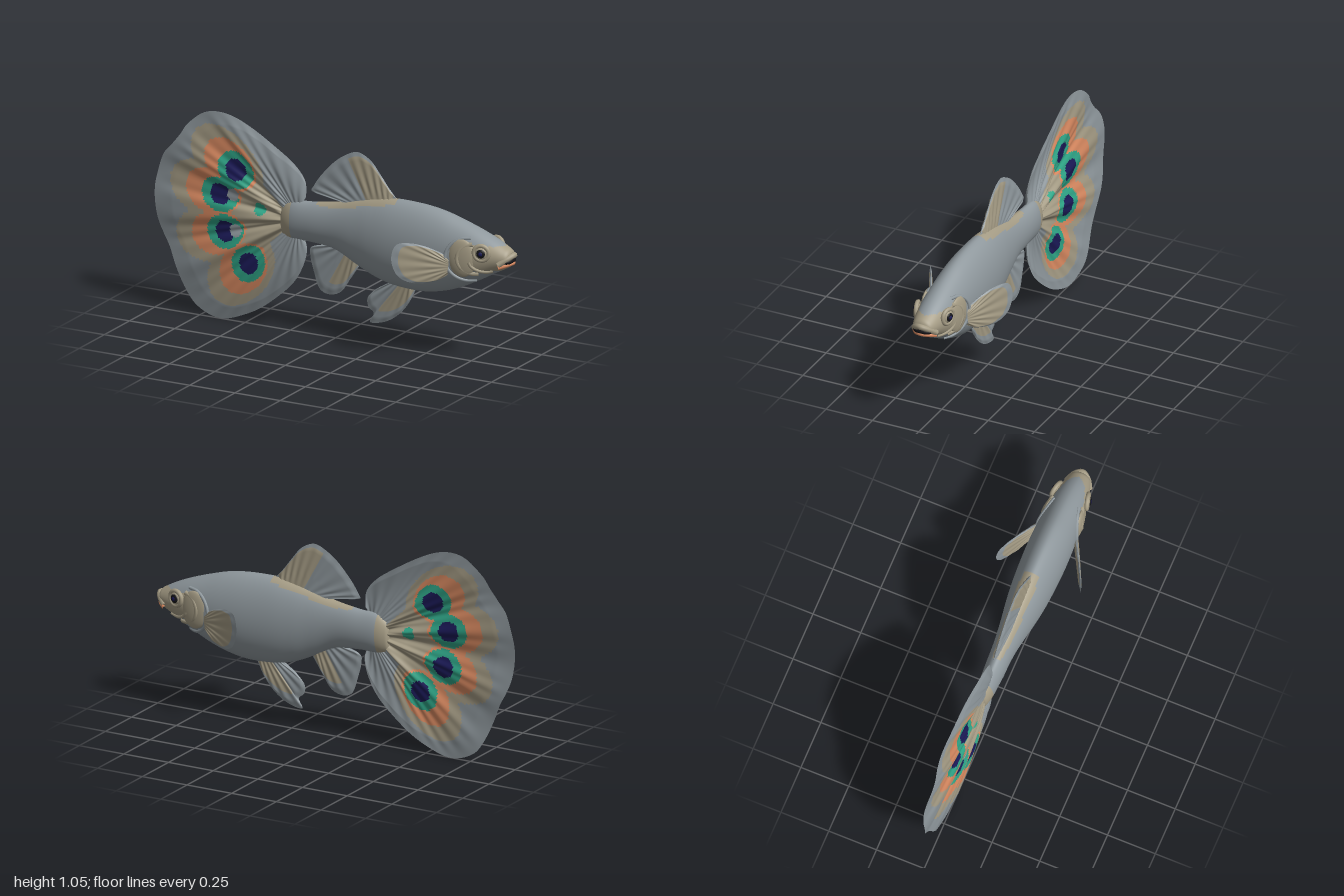
import * as THREE from 'three';
import { mergeVertices } from 'three/addons/utils/BufferGeometryUtils.js';

const PALETTE = { grey: 0x8f989d, tan: 0xa59c85, orange: 0xdb8b62, teal: 0x2fa587, navy: 0x1b1a58, black: 0x141418 };
const KEYS = Object.keys(PALETTE);
const mats = {};
for (const k of KEYS) {
  mats[k] = new THREE.MeshStandardMaterial({ color: PALETTE[k] });
  mats[k].name = k;
}

const spline = (pts) => new THREE.SplineCurve(pts.map(([x, y]) => new THREE.Vector2(x, y)));

// Grid surface from one or more patches; each cell is put in the group of its colour.
function gridMesh(name, patches, nu, nv, colour, weld = false) {
  const pos = [], buckets = KEYS.map(() => []);
  for (const { at, flip, side } of patches) {
    const base = pos.length / 3;
    for (let i = 0; i <= nu; i++) for (let j = 0; j <= nv; j++) pos.push(...at(i / nu, j / nv).toArray());
    for (let i = 0; i < nu; i++) for (let j = 0; j < nv; j++) {
      const u = (i + 0.5) / nu, v = (j + 0.5) / nv;
      const a = base + i * (nv + 1) + j, b = a + nv + 1, c = b + 1, d = a + 1;
      const bucket = buckets[KEYS.indexOf(colour(at(u, v), u, v, side))];
      bucket.push(...(flip ? [a, c, b, a, d, c] : [a, b, c, a, c, d]));
    }
  }
  let geo = new THREE.BufferGeometry();
  geo.setAttribute('position', new THREE.Float32BufferAttribute(pos, 3));
  geo.setIndex(buckets.flat());
  if (weld) geo = mergeVertices(geo, 1e-5);
  geo.computeVertexNormals();
  let start = 0;
  buckets.forEach((b, i) => {
    if (b.length) geo.addGroup(start, b.length, i);
    start += b.length;
  });
  const mesh = new THREE.Mesh(geo, KEYS.map((k) => mats[k]));
  mesh.name = name;
  return mesh;
}

// Two-sided fin spread from a root line to a curved outline, with thin edges and raised rays.
function fin(name, { root, outline, thick, rays, bend = () => 0, colour, nu = 72, nv = 24 }) {
  const edge = spline(outline), foot = spline(root);
  const flat = (u, v) => foot.getPoint(u).lerp(edge.getPoint(u), v);
  const du = flat(0.55, 0.5).sub(flat(0.45, 0.5)), dv = flat(0.5, 0.6).sub(flat(0.5, 0.4));
  const ccw = du.x * dv.y - du.y * dv.x > 0;
  const patches = [1, -1].map((side) => ({
    side,
    flip: ccw !== side > 0,
    at: (u, v) => {
      const p = flat(u, v);
      const taper = Math.min(1, 10 * u, 10 * (1 - u), 8 * (1 - v)) * (1 - 0.6 * v);
      const h = thick * taper * (1 + 0.22 * Math.cos(2 * Math.PI * rays * u) * Math.min(1, 3 * v));
      return new THREE.Vector3(p.x, p.y, bend(p, v) + side * h);
    },
  }));
  return gridMesh(name, patches, nu, nv, colour);
}

// Body stations: x, top, bottom, half width
const STATIONS = [
  [-0.3, 0.56, 0.55, 0], [-0.295, 0.61, 0.5, 0.017], [-0.28, 0.64, 0.48, 0.03], [-0.23, 0.667, 0.468, 0.043],
  [-0.13, 0.673, 0.468, 0.05], [0, 0.692, 0.452, 0.056], [0.12, 0.722, 0.395, 0.07], [0.22, 0.745, 0.35, 0.085],
  [0.33, 0.76, 0.322, 0.097], [0.48, 0.757, 0.315, 0.105], [0.6, 0.74, 0.335, 0.105], [0.7, 0.712, 0.37, 0.1],
  [0.8, 0.678, 0.42, 0.091], [0.88, 0.645, 0.465, 0.076], [0.94, 0.614, 0.497, 0.06], [0.97, 0.594, 0.516, 0.042],
  [0.982, 0.56, 0.545, 0],
];
const tops = spline(STATIONS.map((s) => [s[0], s[1]]));
const lows = spline(STATIONS.map((s) => [s[2], s[3]]));

function bodyAt(u, v) {
  const a = tops.getPoint(u), b = lows.getPoint(u), f = (v - 0.25) * 2 * Math.PI;
  const c = Math.cos(f);
  const z = Math.sign(c) * Math.pow(Math.abs(c), 1.1) * Math.max(0, b.y);
  return new THREE.Vector3(a.x, (a.y + b.x) / 2 + ((a.y - b.x) / 2) * Math.sin(f), z);
}

// Half width of the body surface at a given x and y
function bodyZ(x, y) {
  let lo = 0, hi = 1;
  for (let i = 0; i < 24; i++) {
    const m = (lo + hi) / 2;
    if (tops.getPoint(m).x < x) lo = m; else hi = m;
  }
  const a = tops.getPoint(lo), b = lows.getPoint(lo);
  const k = (y - (a.y + b.x) / 2) / ((a.y - b.x) / 2);
  return b.y * Math.pow(Math.max(0, 1 - k * k), 0.55);
}

function bodyColour(p) {
  if (p.x < -0.23) return 'tan';
  if (p.x > -0.1 && p.x < 0.34 && p.y > 0.665 + 0.22 * Math.max(0, p.x) && Math.abs(p.z) < 0.045) return 'tan';
  if (p.x > 0.74 && p.y > 0.49 && p.y < 0.615) return 'tan';
  return 'grey';
}

// Tail: four eye spots on a folded fan
const SPOTS = [[-0.54, 0.775], [-0.63, 0.64], [-0.6, 0.455], [-0.47, 0.31]];
const tailAngle = (p) => Math.atan2(p.y - 0.56, -(p.x + 0.22));

function tailColour(p, u, v, side) {
  const near = (x, y, r) => Math.hypot(p.x - x, p.y - y) < r;
  if (side > 0 && (near(-0.56, 0.645, 0.032) || near(-0.545, 0.465, 0.032))) return 'grey';
  if (near(-0.41, 0.595, 0.031)) return 'teal';
  const inside = (shift, ra, rb) => SPOTS.some(([x, y]) => {
    const d = new THREE.Vector2(x + 0.22, y - 0.56).normalize();
    const a = (p.x - x) * d.x + (p.y - y) * d.y - shift, b = (p.y - y) * d.x - (p.x - x) * d.y;
    return (a / ra) ** 2 + (b / rb) ** 2 < 1;
  });
  if (inside(0, 0.055, 0.052)) return 'navy';
  if (inside(0, 0.102, 0.086)) return 'teal';
  if (inside(0.04, 0.155, 0.112)) return 'orange';
  if (inside(0.06, 0.225, 0.145)) return 'tan';
  return Math.abs(tailAngle(p)) < 0.75 && p.x > -0.5 ? 'tan' : 'grey';
}

function tailBend(p, v) {
  const a = tailAngle(p);
  const fold = Math.cos((2 * Math.PI * (a + 0.03)) / 0.47) * Math.exp(-((a / 0.95) ** 4));
  return 0.016 * Math.sin(Math.PI * v) - 0.004 + 0.016 * fold * Math.min(1, 4 * v) * (1 - 0.65 * v);
}

function tube(name, pts, r, mat) {
  const geo = new THREE.TubeGeometry(new THREE.CatmullRomCurve3(pts), 40, r, 8);
  const mesh = new THREE.Mesh(geo, mats[mat]);
  mesh.name = name;
  return mesh;
}

function ball(name, mat, pos, scale) {
  const mesh = new THREE.Mesh(new THREE.SphereGeometry(1, 28, 18), mats[mat]);
  mesh.name = name;
  mesh.position.set(...pos);
  mesh.scale.set(...scale);
  return mesh;
}

export function createModel() {
  const fish = new THREE.Group();
  fish.name = 'fancyTailFish';
  fish.add(gridMesh('body', [{ at: bodyAt, flip: false, side: 1 }], 120, 56, bodyColour, true));

  fish.add(fin('tailFin', {
    root: [[-0.2, 0.6], [-0.2, 0.57], [-0.2, 0.54]],
    outline: [[-0.165, 0.69], [-0.17, 0.77], [-0.23, 0.845], [-0.34, 0.92], [-0.47, 0.995], [-0.57, 1.037],
      [-0.66, 1.047], [-0.74, 1.025], [-0.82, 0.96], [-0.86, 0.9], [-0.9, 0.85], [-0.955, 0.785], [-0.99, 0.68],
      [-1, 0.59], [-0.985, 0.465], [-0.955, 0.385], [-0.92, 0.32], [-0.88, 0.225], [-0.83, 0.12], [-0.78, 0.053],
      [-0.7, 0.012], [-0.62, 0.003], [-0.53, 0.03], [-0.42, 0.085], [-0.31, 0.17], [-0.23, 0.25], [-0.18, 0.34],
      [-0.16, 0.42], [-0.17, 0.47]],
    thick: 0.014, rays: 26, bend: tailBend, colour: tailColour, nu: 190, nv: 80,
  }));

  fish.add(fin('dorsalFin', {
    root: [[0.04, 0.695], [0.18, 0.72], [0.32, 0.74]],
    outline: [[-0.05, 0.712], [-0.13, 0.725], [-0.12, 0.755], [-0.083, 0.81], [-0.01, 0.89], [0.06, 0.94],
      [0.125, 0.962], [0.195, 0.93], [0.25, 0.865], [0.3, 0.8], [0.345, 0.752]],
    thick: 0.015, rays: 11,
    colour: (p, u, v) => (u > 0.5 && u < 0.95 && v < 0.9 ? 'tan' : 'grey'),
  }));

  fish.add(fin('analFin', {
    root: [[0, 0.48], [0.06, 0.46], [0.12, 0.42]],
    outline: [[-0.04, 0.468], [-0.13, 0.445], [-0.14, 0.4], [-0.12, 0.32], [-0.09, 0.24], [-0.035, 0.217],
      [0.03, 0.24], [0.08, 0.31], [0.13, 0.385]],
    thick: 0.014, rays: 8,
    colour: (p, u, v) => (u > 0.55 && v < 0.75 ? 'tan' : 'grey'),
  }));

  fish.add(fin('ventralFin', {
    root: [[0.32, 0.345], [0.37, 0.34], [0.43, 0.335]],
    outline: [[0.31, 0.325], [0.24, 0.295], [0.18, 0.24], [0.18, 0.19], [0.21, 0.16], [0.19, 0.112], [0.25, 0.118],
      [0.31, 0.145], [0.365, 0.19], [0.41, 0.25], [0.445, 0.32]],
    thick: 0.014, rays: 8,
    colour: (p, u, v) => (u > 0.45 && v < 0.7 ? 'tan' : 'grey'),
  }));

  // Dark mouth with a tan upper lip and an orange lower lip
  const lip = (x, y, cornerY, w) => [-1, -0.55, 0, 0.55, 1].map((k) =>
    new THREE.Vector3(x - (x - 0.928) * k * k, y - (y - cornerY) * k * k, w * k));
  fish.add(
    ball('mouthInterior', 'black', [0.955, 0.544, 0], [0.032, 0.02, 0.052]),
    tube('upperLip', lip(0.983, 0.573, 0.53, 0.06), 0.015, 'tan'),
    tube('lowerLip', lip(0.978, 0.532, 0.515, 0.057), 0.011, 'orange'),
  );

  for (const s of [1, -1]) {
    const side = s > 0 ? 'left' : 'right';
    const name = (part) => side + part;

    fish.add(fin(name('PectoralFin'), {
      root: [[0.68, 0.53], [0.68, 0.5], [0.675, 0.46]],
      outline: [[0.675, 0.54], [0.635, 0.568], [0.57, 0.597], [0.505, 0.611], [0.45, 0.6], [0.43, 0.535],
        [0.445, 0.465], [0.48, 0.425], [0.54, 0.407], [0.62, 0.42], [0.67, 0.45]],
      thick: 0.012, rays: 9, bend: (p) => s * (0.092 + (0.68 - p.x) * 0.52),
      colour: (p, u, v) => (v < 0.86 ? 'tan' : 'grey'),
    }));

    // Gill cover with curved rims lying on the cheek
    const cover = ball(name('GillCover'), 'tan', [0.745, 0.545, s * 0.084], [0.075, 0.095, 0.02]);
    cover.rotation.y = s * 0.1;
    fish.add(cover);
    const arc = (cx, cy, rx, ry, a0, a1) => Array.from({ length: 9 }, (_, i) => {
      const a = a0 + ((a1 - a0) * i) / 8;
      const x = cx + rx * Math.cos(a), y = cy + ry * Math.sin(a);
      return new THREE.Vector3(x, y, s * bodyZ(x, y));
    });
    fish.add(
      tube(name('GillRim'), arc(0.775, 0.535, 0.115, 0.11, 1.5, 4.9), 0.009, 'grey'),
      tube(name('CheekRim'), arc(0.81, 0.545, 0.085, 0.075, 1.7, 4.9), 0.012, 'tan'),
      tube(name('JawFold'), arc(0.86, 0.54, 0.075, 0.055, 3.3, 5.2), 0.009, 'tan'),
    );

    // Eye facing outward and slightly forward
    const eye = new THREE.Group();
    eye.name = name('Eye');
    eye.position.set(0.85, 0.585, s * (bodyZ(0.85, 0.585) + 0.004));
    eye.rotation.y = s > 0 ? 0.25 : Math.PI - 0.25;
    const ring = new THREE.Mesh(new THREE.TorusGeometry(0.037, 0.011, 10, 32), mats.tan);
    ring.name = 'eyeRing';
    eye.add(ring, ball('eyeball', 'tan', [0, 0, 0], [0.034, 0.034, 0.016]),
      ball('iris', 'black', [0, 0, 0.011], [0.022, 0.022, 0.009]),
      ball('pupil', 'navy', [0, 0, 0.014], [0.013, 0.013, 0.008]));
    fish.add(eye);
  }
  return fish;
}
